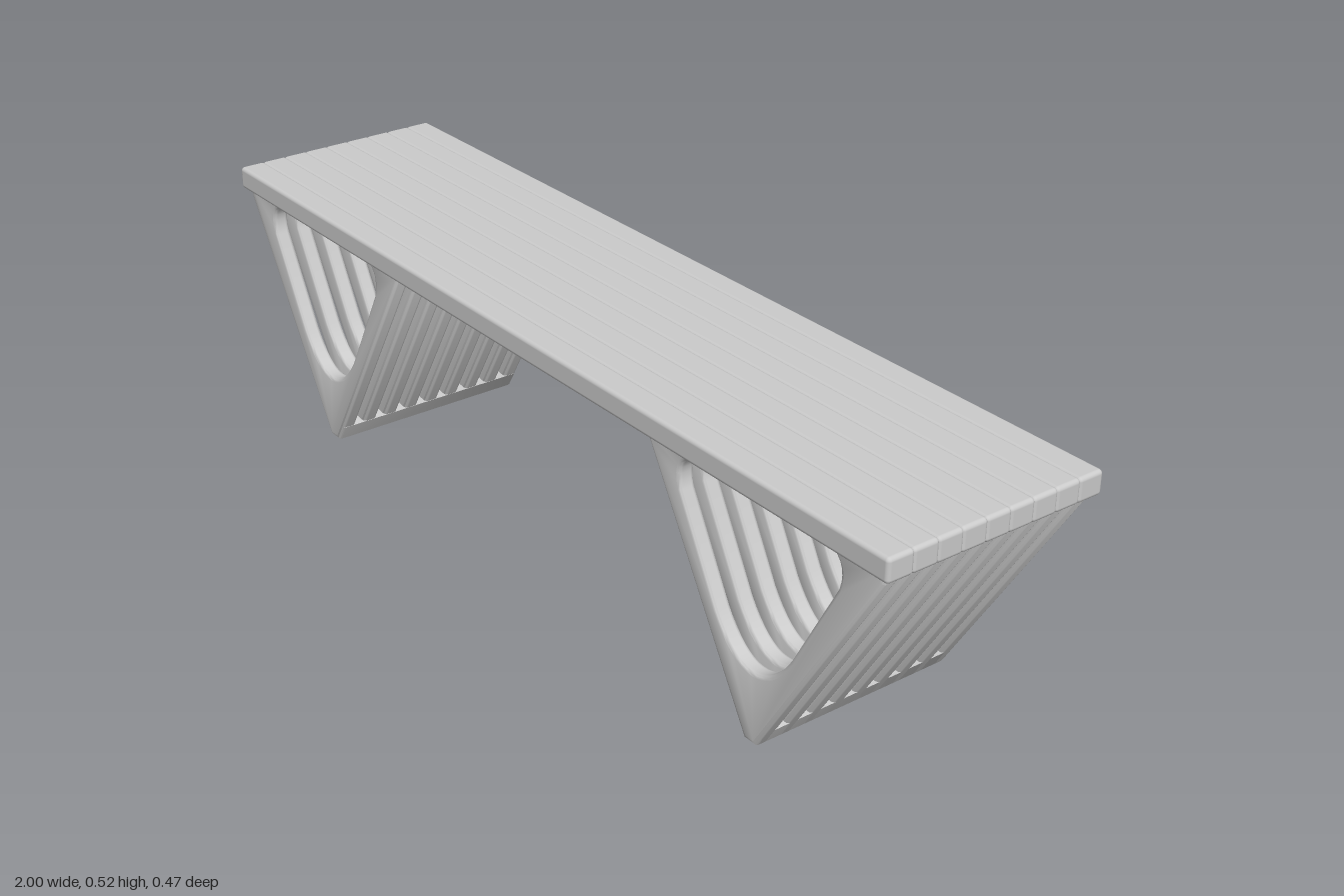
import * as THREE from 'three';
import { RoundedBoxGeometry } from 'three/addons/geometries/RoundedBoxGeometry.js';
import { toCreasedNormals } from 'three/addons/utils/BufferGeometryUtils.js';

const COUNT = 9;          // planks in the seat and slats in each leg
const PITCH = 0.0512;
const LEG_X = 0.685;      // centre line of each leg
const slotZ = (i) => (i - (COUNT - 1) / 2) * PITCH;

// Extrudes a shape along z, centred, with rounded rims that stay inside the outline
function roundedExtrude(shape, depth, bevel) {
  const geo = new THREE.ExtrudeGeometry(shape, {
    depth: depth - 2 * bevel, bevelEnabled: true, bevelThickness: bevel,
    bevelSize: bevel, bevelOffset: -bevel, bevelSegments: 3, curveSegments: 8,
  });
  geo.translate(0, 0, -depth / 2 + bevel);
  return toCreasedNormals(geo, 0.7);
}

// Triangular slat outline pointing down, with a soft rounded opening
function slatShape() {
  const s = new THREE.Shape();
  s.moveTo(-0.015, 0);
  s.lineTo(0.015, 0);
  s.lineTo(0.295, 0.455);
  s.lineTo(0.295, 0.485);
  s.lineTo(-0.285, 0.485);
  s.lineTo(-0.285, 0.46);
  s.closePath();
  const h = new THREE.Path();
  h.moveTo(0.15, 0.472);
  h.lineTo(-0.15, 0.472);
  h.quadraticCurveTo(-0.215, 0.465, -0.195, 0.40);
  h.lineTo(-0.095, 0.215);
  h.quadraticCurveTo(-0.05, 0.143, 0, 0.143);
  h.quadraticCurveTo(0.05, 0.143, 0.095, 0.215);
  h.lineTo(0.195, 0.40);
  h.quadraticCurveTo(0.215, 0.465, 0.15, 0.472);
  s.holes.push(h);
  return s;
}

// Wedge-shaped foot rail that joins the slat tips
function footShape() {
  const s = new THREE.Shape();
  s.moveTo(-0.015, 0);
  s.lineTo(0.015, 0);
  s.lineTo(0.037, 0.036);
  s.quadraticCurveTo(0, 0.046, -0.037, 0.036);
  s.closePath();
  return s;
}

export function createModel() {
  const model = new THREE.Group();
  model.name = 'bench';
  const mat = new THREE.MeshStandardMaterial({ color: 0xcccccc });
  const add = (parent, geo, name, x, y, z) => {
    const mesh = new THREE.Mesh(geo, mat);
    mesh.name = name;
    mesh.position.set(x, y, z);
    parent.add(mesh);
    return mesh;
  };

  // Seat: long planks that overlap slightly, leaving shallow grooves
  const seat = new THREE.Group();
  seat.name = 'seat';
  model.add(seat);
  const plank = new RoundedBoxGeometry(2, 0.047, 0.056, 3, 0.008);
  for (let i = 0; i < COUNT; i++) add(seat, plank, 'seatPlank', 0, 0.4925, slotZ(i));

  // Legs: a row of open triangular slats on a shared foot rail
  const slat = roundedExtrude(slatShape(), 0.032, 0.008);
  const foot = roundedExtrude(footShape(), 0.438, 0.006);
  for (const side of [1, -1]) {
    const leg = new THREE.Group();
    leg.name = side > 0 ? 'leftLeg' : 'rightLeg';
    leg.position.x = side * LEG_X;
    leg.rotation.y = side > 0 ? 0 : Math.PI;
    model.add(leg);
    for (let i = 0; i < COUNT; i++) add(leg, slat, 'legSlat', 0, 0, slotZ(i));
    add(leg, foot, 'footRail', 0, 0, 0);
  }
  return model;
}
